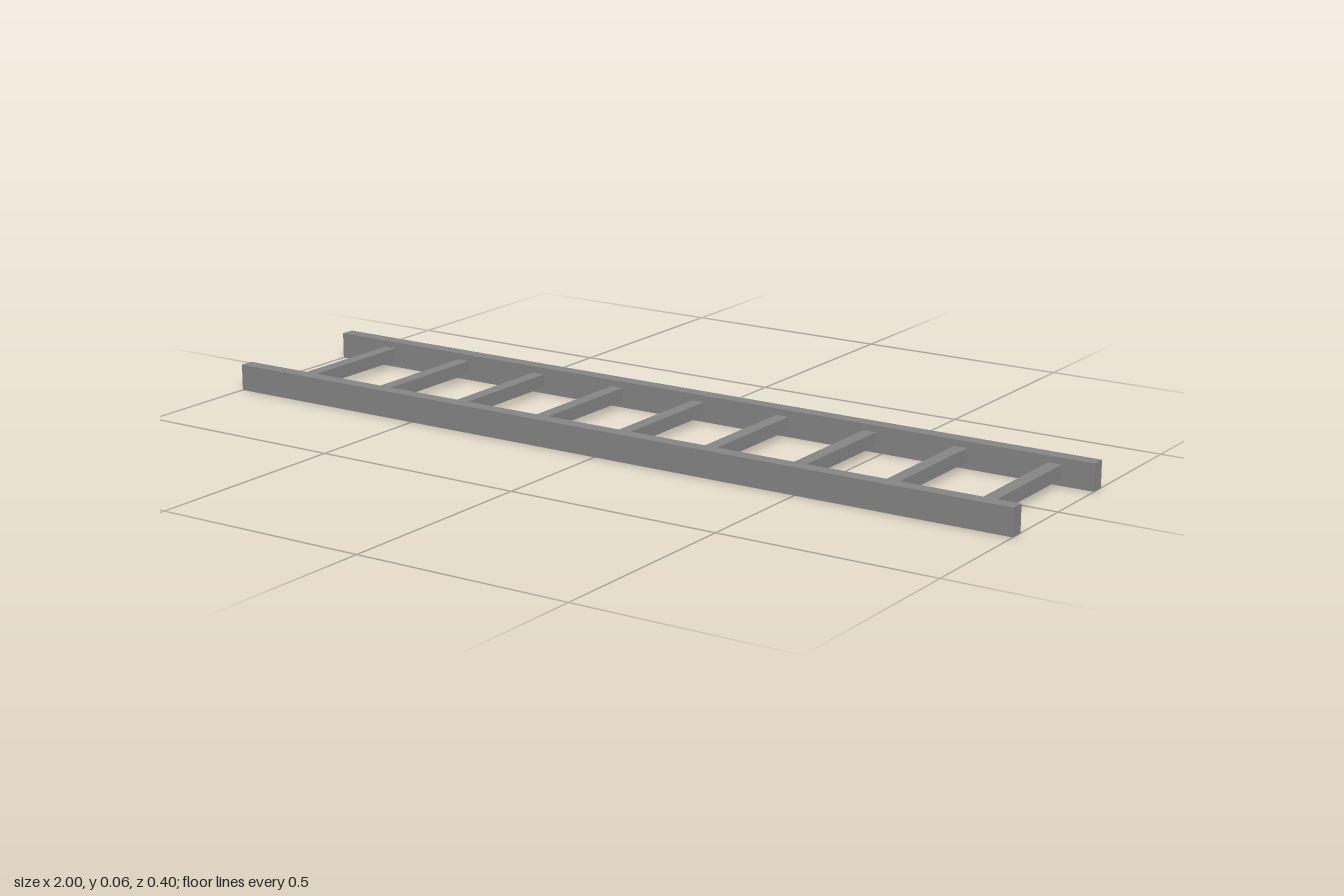
import * as THREE from 'three';

export function createModel() {
  const ladder = new THREE.Group();
  ladder.name = 'ladder';
  const material = new THREE.MeshStandardMaterial({ color: 0x848484, flatShading: true });

  const height = 0.061, railDepth = 0.033, halfWidth = 0.2;

  const addBar = (name, geometry, x, z) => {
    const bar = new THREE.Mesh(geometry, material);
    bar.name = name;
    bar.position.set(x, height / 2, z);
    ladder.add(bar);
  };

  // Two long side rails
  const railGeometry = new THREE.BoxGeometry(2, height, railDepth);
  const railZ = halfWidth - railDepth / 2;
  addBar('frontRail', railGeometry, 0, railZ);
  addBar('backRail', railGeometry, 0, -railZ);

  // Nine square rungs, evenly spaced but nearer the +x end
  const rungGeometry = new THREE.BoxGeometry(0.031, 0.031, 2 * (halfWidth - railDepth));
  const firstRung = -0.854, spacing = 0.2204;
  for (let i = 0; i < 9; i++) {
    addBar(`rung${i + 1}`, rungGeometry, firstRung + i * spacing, 0);
  }

  return ladder;
}
